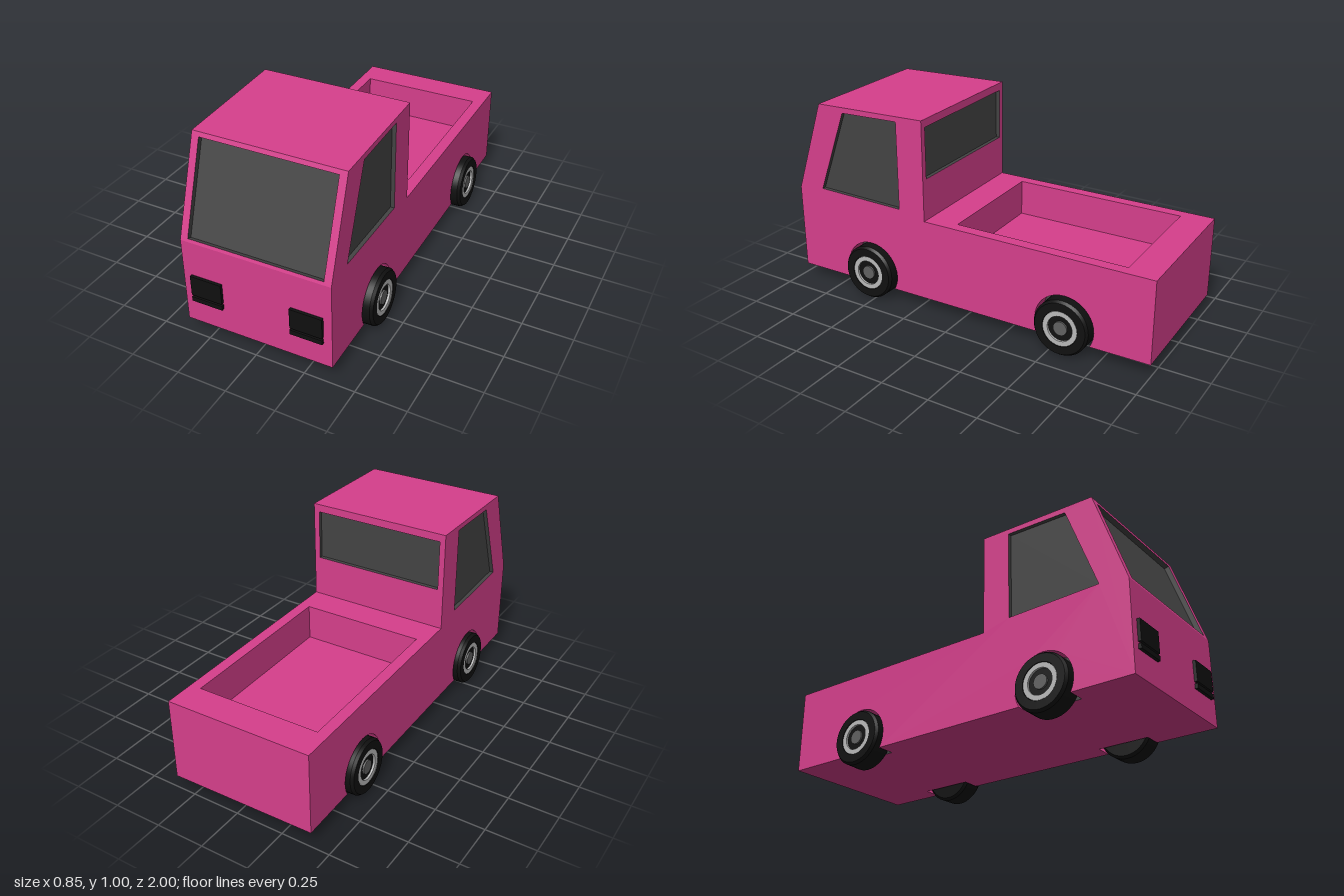
import * as THREE from 'three';
import { toCreasedNormals } from 'three/addons/utils/BufferGeometryUtils.js';

const mat = (color, side = THREE.FrontSide) => new THREE.MeshStandardMaterial({ color, side });
const paint = mat(0xd63f8c, THREE.DoubleSide);
const glass = mat(0x444444, THREE.DoubleSide);
const black = mat(0x101010);
const silver = mat(0xb8b8b8);
const hubGrey = mat(0x606060);

const W = 0.375, L = 0.9875, BASE = 0.065, DECK = 0.487;
const AXLES = [-0.553, 0.543], AXLE_Y = 0.14, ARCH_R = 0.153;
const V = (x, y, z) => new THREE.Vector3(x, y, z);

function add(parent, name, geometry, material) {
  const mesh = new THREE.Mesh(geometry, material);
  mesh.name = name;
  parent.add(mesh);
  return mesh;
}

// Plane normal of a polygon, turned to the outward side
function normalOf(pts, out) {
  const n = V(0, 0, 0);
  pts.forEach((p, i) => n.add(p.clone().cross(pts[(i + 1) % pts.length])));
  n.normalize();
  return n.dot(out) < 0 ? n.negate() : n;
}

// Flat panel through 3D points, with optional holes
function panel(pts, out, holes = []) {
  const n = normalOf(pts, out), o = pts[0];
  const u = pts[1].clone().sub(o).normalize(), v = n.clone().cross(u);
  const flat = (list) => list.map((p) => {
    const d = p.clone().sub(o);
    return new THREE.Vector2(d.dot(u), d.dot(v));
  });
  const shape = new THREE.Shape(flat(pts));
  holes.forEach((h) => shape.holes.push(new THREE.Path(flat(h))));
  return new THREE.ShapeGeometry(shape).applyMatrix4(new THREE.Matrix4().makeBasis(u, v, n).setPosition(o));
}

// Pocket behind an opening: side walls plus a back panel
function recess(parent, name, pts, out, depth, wallMat, backMat, open = false) {
  const group = new THREE.Group();
  group.name = name;
  parent.add(group);
  const shift = normalOf(pts, out).multiplyScalar(-depth);
  const back = pts.map((p) => p.clone().add(shift));
  add(group, name + 'Back', panel(back, out), backMat);
  const pos = [];
  for (let i = 0; i < pts.length - (open ? 1 : 0); i++) {
    const j = (i + 1) % pts.length;
    for (const p of [pts[i], back[j], pts[j], pts[i], back[i], back[j]]) pos.push(p.x, p.y, p.z);
  }
  const walls = new THREE.BufferGeometry();
  walls.setAttribute('position', new THREE.Float32BufferAttribute(pos, 3));
  walls.computeVertexNormals();
  add(group, name + 'Walls', walls, wallMat);
}

// Wheel arch outline from front to back, as [z, y]
function archPoints(z0) {
  const a = Math.asin((AXLE_Y - BASE) / ARCH_R), pts = [];
  for (let i = 0; i <= 24; i++) {
    const t = -a + (Math.PI + 2 * a) * i / 24;
    pts.push([z0 + ARCH_R * Math.cos(t), AXLE_Y + ARCH_R * Math.sin(t)]);
  }
  return pts;
}

const rect = (w, y0, z0, y1, z1) => [V(-w, y0, z0), V(w, y0, z0), V(w, y1, z1), V(-w, y1, z1)];

function buildBody(parent) {
  const roofZ = 0.825, cabZ = 0.213, roofY = 0.985, sillY = 0.51, archDepth = 0.09;
  const front = V(0, 0, 1), rear = V(0, 0, -1), up = V(0, 1, 0), down = V(0, -1, 0);

  // Sides with windows and wheel arches
  const outline = [[-L, BASE], [-L, DECK], [cabZ, DECK], [cabZ, 1], [roofZ, roofY], [L, sillY], [L, BASE],
    ...archPoints(AXLES[1]), ...archPoints(AXLES[0])];
  const windowOutline = [[0.84, 0.53], [0.68, 0.96], [0.36, 0.97], [0.36, 0.52]];
  for (const s of [1, -1]) {
    const side = s > 0 ? 'left' : 'right', out = V(s, 0, 0);
    const to3D = (list) => list.map(([z, y]) => V(s * W, y, z));
    const win = to3D(windowOutline);
    add(parent, side + 'Side', panel(to3D(outline), out, [win]), paint);
    recess(parent, side + 'Window', win, out, 0.02, glass, glass);
    AXLES.forEach((z, i) => recess(parent, side + (i ? 'Front' : 'Rear') + 'Arch',
      to3D(archPoints(z)), out, archDepth, paint, glass, true));
  }

  // Windshield on the sloping front
  const slopeZ = (y) => L + (roofZ - L) * (y - sillY) / (roofY - sillY);
  const shield = rect(0.3375, 0.525, slopeZ(0.525), 0.963, slopeZ(0.963));
  add(parent, 'windshieldFrame', panel(rect(W, sillY, L, roofY, roofZ), front, [shield]), paint);
  recess(parent, 'windshield', shield, front, 0.025, glass, glass);

  // Cab rear wall with window
  const rearWindow = rect(0.345, 0.7, cabZ, 0.96, cabZ);
  add(parent, 'cabRear', panel(rect(W, DECK, cabZ, 1, cabZ), rear, [rearWindow]), paint);
  recess(parent, 'rearWindow', rearWindow, rear, 0.02, glass, glass);

  // Deck with cargo bed
  const bed = rect(0.3175, DECK, -0.8325, DECK, 0.0575);
  add(parent, 'deck', panel(rect(W, DECK, -L, DECK, cabZ), up, [bed]), paint);
  recess(parent, 'cargoBed', bed, up, 0.185, paint, paint);

  // Plain panels
  add(parent, 'nose', panel(rect(W, BASE, L, sillY, L), front), paint);
  add(parent, 'roof', panel(rect(W, roofY, roofZ, 1, cabZ), up), paint);
  add(parent, 'tail', panel(rect(W, BASE, -L, DECK, -L), rear), paint);

  // Underside, notched at the arches
  const half = Math.sqrt(ARCH_R ** 2 - (AXLE_Y - BASE) ** 2), inner = W - archDepth;
  const edge = [[W, -L]];
  for (const z of AXLES) edge.push([W, z - half], [inner, z - half], [inner, z + half], [W, z + half]);
  edge.push([W, L]);
  const floor = [...edge, ...edge.map(([x, z]) => [-x, z]).reverse()].map(([x, z]) => V(x, BASE, z));
  add(parent, 'underside', panel(floor, down), paint);
}

function lathe(profile) {
  const g = new THREE.LatheGeometry(profile.map(([r, h]) => new THREE.Vector2(r, h)), 40);
  return toCreasedNormals(g.rotateZ(-Math.PI / 2), 0.5);
}

// Wheel with its outer face towards +x
function buildWheel(name) {
  const wheel = new THREE.Group();
  wheel.name = name;
  add(wheel, 'tyre', lathe([[0, -0.058], [0.128, -0.058], [0.14, -0.046], [0.14, 0.044], [0.13, 0.058],
    [0.09, 0.058], [0.088, 0.045], [0, 0.045]]), black);
  add(wheel, 'rimRing', lathe([[0.064, 0.045], [0.088, 0.045], [0.088, 0.056], [0.064, 0.056], [0.064, 0.045]]), silver);
  add(wheel, 'hub', lathe([[0.035, 0.04], [0.035, 0.054], [0, 0.054]]), hubGrey);
  return wheel;
}

export function createModel() {
  const model = new THREE.Group();
  model.name = 'pickupTruck';
  const truck = new THREE.Group();
  truck.name = 'truck';
  truck.rotation.y = 0.015;
  truck.position.set(-0.01, 0, -0.0075);
  model.add(truck);
  buildBody(truck);

  for (const s of [1, -1]) {
    const side = s > 0 ? 'left' : 'right';
    // Wheels, slightly cambered
    AXLES.forEach((z, i) => {
      const wheel = buildWheel(side + (i ? 'Front' : 'Rear') + 'Wheel');
      wheel.position.set(s * 0.355 + 0.006, AXLE_Y, z);
      wheel.rotation.set(0, s > 0 ? 0 : Math.PI, 0.026 * s, 'ZYX');
      truck.add(wheel);
    });
    // Headlight and the thin lamp below it
    for (const [name, y, h] of [['Headlight', 0.278, 0.105], ['Indicator', 0.203, 0.024]]) {
      add(truck, side + name, new THREE.BoxGeometry(0.16, h, 0.03), black).position.set(s * 0.2535, y, L);
    }
  }
  return model;
}
